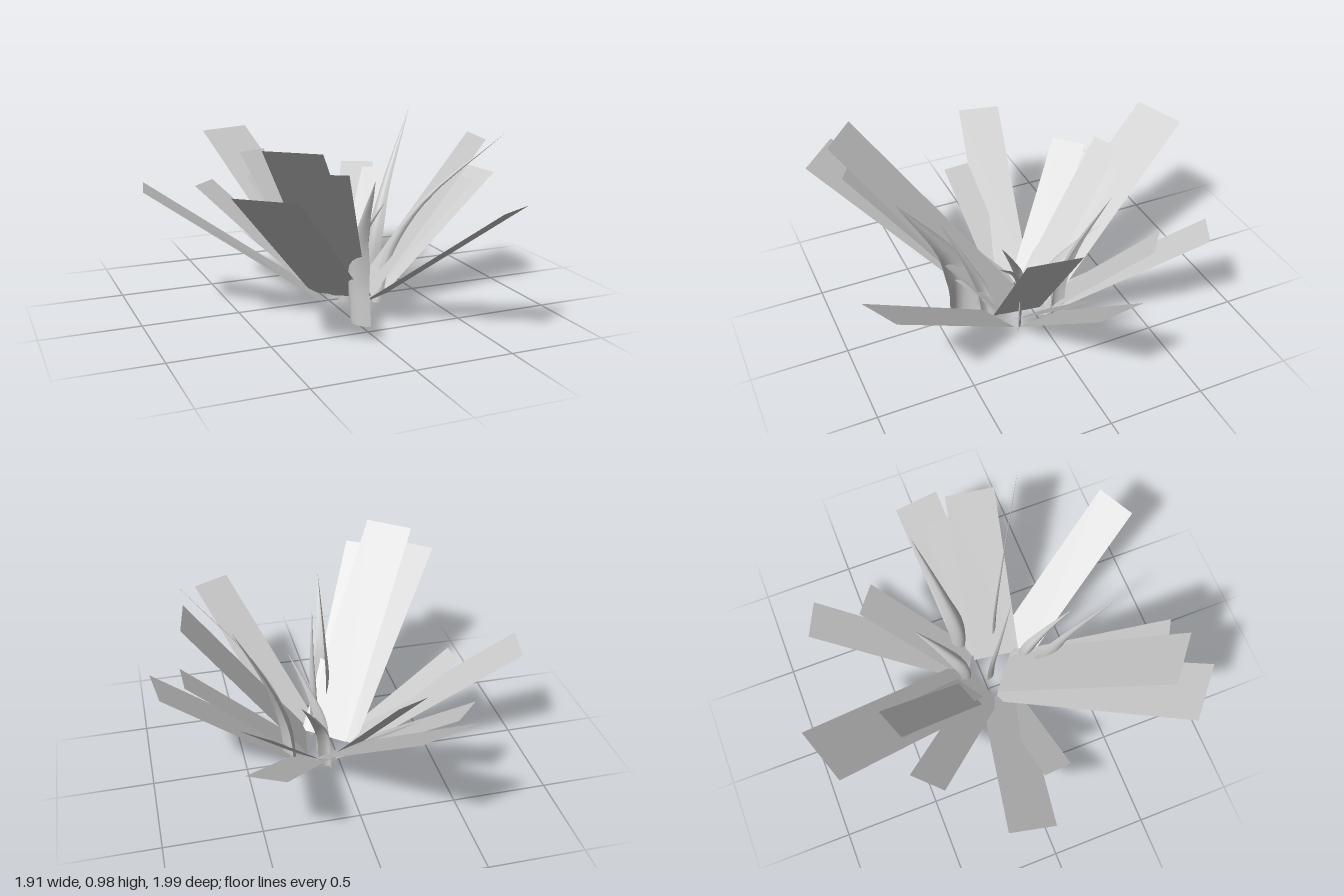
import * as THREE from 'three';

const leafGrey = new THREE.MeshStandardMaterial({ color: 0xcccccc, side: THREE.DoubleSide });
leafGrey.name = 'leafGrey';

// Surface from rows of points, each row the same length
function sheet(name, rows) {
  const n = rows[0].length, index = [];
  for (let i = 0; i < rows.length - 1; i++) {
    for (let j = 0; j < n - 1; j++) {
      const a = i * n + j, b = a + n;
      index.push(a, a + 1, b, a + 1, b + 1, b);
    }
  }
  const geometry = new THREE.BufferGeometry().setFromPoints(rows.flat());
  geometry.setIndex(index);
  geometry.computeVertexNormals();
  const mesh = new THREE.Mesh(geometry, leafGrey);
  mesh.name = name;
  return mesh;
}

// Flat rectangular leaf: two tip corners (x, z), tip height, middle of the base (x, z)
const BASE_Y = 0.06;
function flatLeaf([x1, z1, x2, z2, y, bx, bz]) {
  const dx = (x1 + x2) / 2 - bx, dz = (z1 + z2) / 2 - bz;
  const V = (x, h, z) => new THREE.Vector3(x, h, z);
  return sheet('flatLeaf', [
    [V(x1 - dx, BASE_Y, z1 - dz), V(x2 - dx, BASE_Y, z2 - dz)],
    [V(x1, y, z1), V(x2, y, z2)],
  ]);
}

// Pointed blade: cupped cross-sections along a bent midrib, narrowing to the tip
function blade({ path, side, cup, width }) {
  const curve = new THREE.CatmullRomCurve3(path.map((p) => new THREE.Vector3(...p)));
  const across = new THREE.Vector3(side[0], 0, side[1]).normalize();
  const back = new THREE.Vector3(-across.z, 0, across.x);
  const rows = [];
  for (let i = 0; i <= 12; i++) {
    const t = i / 12, centre = curve.getPoint(t);
    const w = width * (t < 0.45 ? 1 : Math.pow((1 - t) / 0.55, 0.9));
    const row = [];
    for (let j = 0; j <= 6; j++) {
      const s = j / 3 - 1;
      row.push(centre.clone()
        .addScaledVector(across, s * w / 2)
        .addScaledVector(back, cup * (w / width) * (0.5 - s * s)));
    }
    rows.push(row);
  }
  return sheet('pointedBlade', rows);
}

const FLAT_LEAVES = [
  // back
  [-0.415, -0.905, -0.13, -1.0, 0.8, 0.04, -0.03],
  [0.425, -0.83, 0.6, -0.745, 0.57, 0.15, -0.05],
  [0.44, -0.545, 0.58, -0.435, 0.59, 0.16, -0.05],
  [-0.59, -0.455, -0.455, -0.59, 0.58, -0.03, -0.03],
  [-0.3, -0.565, -0.14, -0.625, 0.725, -0.01, -0.05],
  [-0.27, -0.56, -0.115, -0.62, 0.59, 0.03, -0.04],
  // left
  [0.92, -0.17, 0.95, 0.07, 0.635, 0.25, 0.03],
  [0.79, -0.06, 0.795, 0.125, 0.615, 0.2, 0.055],
  [0.775, 0.065, 0.735, 0.32, 0.87, 0.15, 0.11],
  // front
  [0.625, 0.89, 0.43, 0.99, 0.665, 0.16, 0.22],
  [-0.53, 0.975, -0.76, 0.78, 0.8, 0.015, 0.1],
  [-0.39, 0.88, -0.6, 0.71, 0.975, 0.05, 0.12],
  [-0.26, 0.855, -0.425, 0.755, 0.87, 0.06, 0.14],
  // right
  [-0.67, 0.185, -0.68, 0.04, 0.49, -0.1, 0.07],
  [-0.96, -0.025, -0.91, -0.25, 0.67, -0.08, 0.05],
];

const BLADES = [
  { path: [[0.26, 0, -0.065], [0.28, 0.28, -0.06], [0.36, 0.55, -0.1], [0.555, 0.98, -0.19]], side: [0.37, 0.93], width: 0.1, cup: 0.04 },
  { path: [[0.08, 0, -0.09], [0.09, 0.22, -0.1], [0.16, 0.4, -0.19], [0.255, 0.58, -0.315]], side: [0.75, 0.65], width: 0.08, cup: 0.04 },
  { path: [[0.22, 0, 0.13], [0.28, 0.28, 0.15], [0.42, 0.55, 0.24], [0.76, 0.925, 0.46]], side: [0.8, 0.6], width: 0.05, cup: 0.01 },
  { path: [[0.0, 0, 0.37], [-0.01, 0.25, 0.365], [-0.02, 0.45, 0.43], [-0.045, 0.79, 0.66]], side: [0.2, 1], width: 0.17, cup: 0.05 },
  { path: [[0.07, 0, 0.05], [0.07, 0.2, 0.06], [0.12, 0.36, 0.12], [0.22, 0.57, 0.22]], side: [0.7, 0.7], width: 0.08, cup: 0.02 },
  { path: [[0.08, 0, 0.24], [0.07, 0.2, 0.26], [0.06, 0.4, 0.34], [0.03, 0.68, 0.47]], side: [-0.5, 0.85], width: 0.07, cup: 0.03 },
];

export function createModel() {
  const plant = new THREE.Group();
  plant.name = 'plant';
  FLAT_LEAVES.forEach((leaf) => plant.add(flatLeaf(leaf)));
  BLADES.forEach((b) => plant.add(blade(b)));
  return plant;
}
